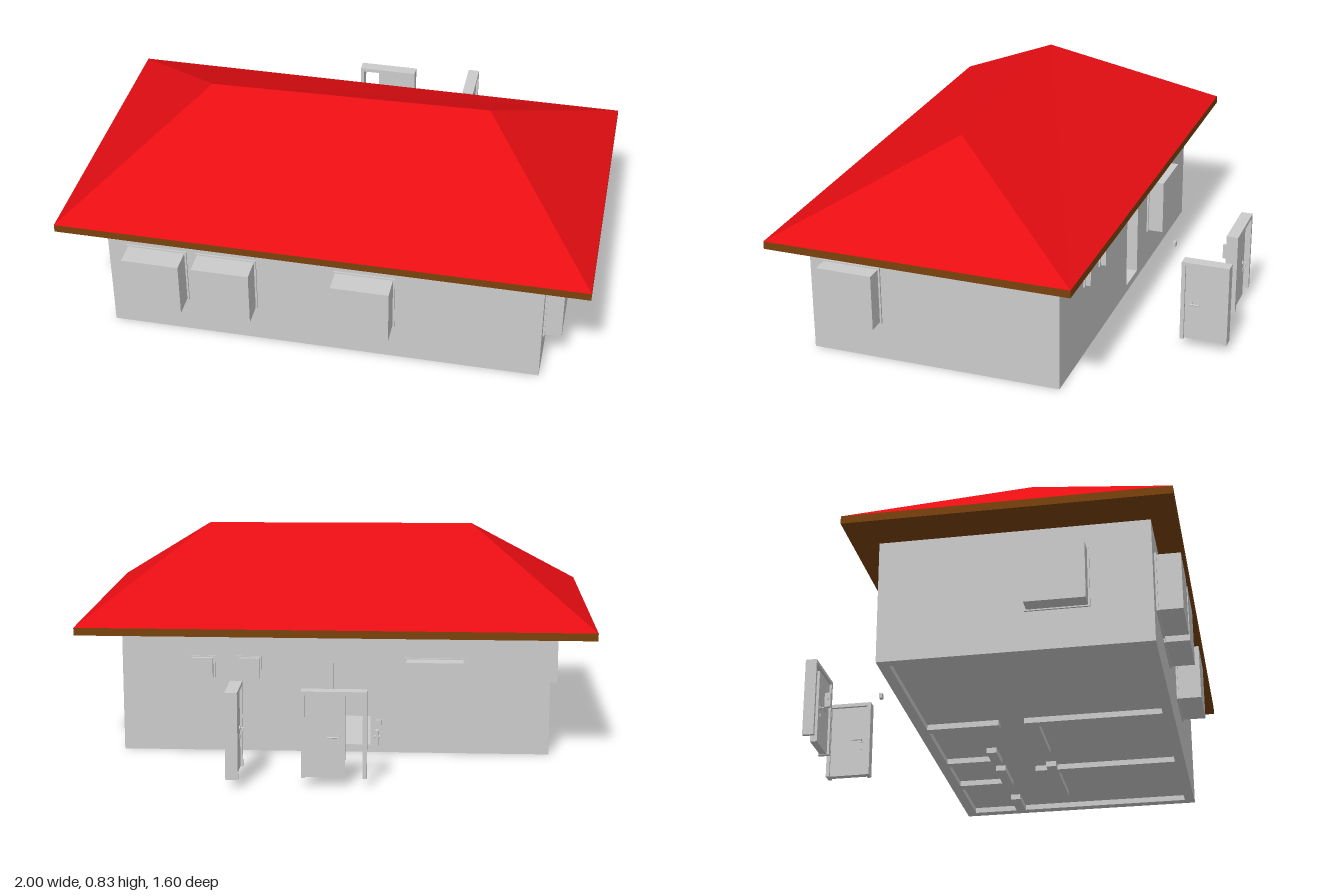
import * as THREE from 'three';

const grey = new THREE.MeshStandardMaterial({ color: 0xcccccc });
const red = new THREE.MeshStandardMaterial({ color: 0xe60d12, flatShading: true });
const brown = new THREE.MeshStandardMaterial({ color: 0x7a420c });

// Box given by its extents on each axis
function box(parent, name, [x0, x1], [y0, y1], [z0, z1], material = grey) {
  const mesh = new THREE.Mesh(new THREE.BoxGeometry(x1 - x0, y1 - y0, z1 - z0), material);
  mesh.position.set((x0 + x1) / 2, (y0 + y1) / 2, (z0 + z1) / 2);
  mesh.name = name;
  parent.add(mesh);
  return mesh;
}

// Hipped roof: four eave corners rising to a slightly skewed ridge
function makeRoof() {
  const y = 0.505;
  const a = [-1, y, 0.795], b = [1, y, 0.795], c = [1, y, -0.39], d = [-1, y, -0.39];
  const l = [-0.53, 0.83, 0.225], r = [0.54, 0.83, 0.195];
  const faces = [a, b, r, a, r, l, b, c, r, c, d, l, c, l, r, d, a, l];
  const geometry = new THREE.BufferGeometry();
  geometry.setAttribute('position', new THREE.Float32BufferAttribute(faces.flat(), 3));
  geometry.computeVertexNormals();
  const mesh = new THREE.Mesh(geometry, red);
  mesh.name = 'roof';
  return mesh;
}

// Window block: thin flange on the wall and a deep body, facing local +z
function windowBlock(parent, x, y, z, turn, depth, w = 0.22, h = 0.22) {
  const g = new THREE.Group();
  g.name = 'windowBlock';
  box(g, 'windowFlange', [-w / 2 - 0.007, w / 2 + 0.007], [-h / 2 - 0.005, h / 2 + 0.005], [-0.01, 0.007]);
  box(g, 'windowBody', [-w / 2, w / 2], [-h / 2, h / 2], [0, depth]);
  g.position.set(x, y, z);
  g.rotation.y = turn;
  parent.add(g);
}

// Lever handles on both faces of a door, lever pointing to local dir
function doorHandle(parent, x, y, dir, half) {
  for (const s of [-1, 1]) {
    const rose = new THREE.Mesh(new THREE.CylinderGeometry(0.009, 0.009, 0.006, 16), grey);
    rose.rotation.x = Math.PI / 2;
    rose.position.set(x, y, s * (half + 0.001));
    rose.name = 'handleRose';
    parent.add(rose);
    const neck = new THREE.Mesh(new THREE.CylinderGeometry(0.003, 0.003, 0.02, 12), grey);
    neck.rotation.x = Math.PI / 2;
    neck.position.set(x, y, s * (half + 0.007));
    neck.name = 'handleNeck';
    parent.add(neck);
    const lever = new THREE.Mesh(new THREE.CylinderGeometry(0.003, 0.003, 0.042, 12), grey);
    lever.rotation.z = Math.PI / 2;
    lever.position.set(x + dir * 0.018, y, s * (half + 0.015));
    lever.name = 'handleLever';
    parent.add(lever);
    box(parent, 'keyhole', [x - 0.003, x + 0.003], [y - 0.04, y - 0.025],
      s > 0 ? [half, half + 0.003] : [-half - 0.003, -half]);
  }
}

// Door with frame; the leaf fills the span [leaf0, leaf1]
function door(name, w, leaf0, leaf1, handleX, dir) {
  const g = new THREE.Group(), t = 0.015, d = 0.023;
  g.name = name;
  for (const s of [-1, 1]) {
    const x = s * (w / 2 - t / 2);
    box(g, 'doorJamb', [x - t / 2, x + t / 2], [0.035, 0.36], [-d, d]);
  }
  box(g, 'doorHead', [-w / 2 + t, w / 2 - t], [0.345, 0.36], [-d, d]);
  box(g, 'doorLeaf', [leaf0, leaf1], [0.037, 0.344], [-0.014, 0.014]);
  doorHandle(g, handleX, 0.19, dir, 0.014);
  return g;
}

export function createModel() {
  const model = new THREE.Group();
  const H = [0, 0.476], T = 0.04;

  // Outer walls; the back one has a doorway
  box(model, 'frontWall', [-0.83, 0.83], H, [0.70 - T, 0.70]);
  box(model, 'leftWall', [0.83 - T, 0.83], H, [-0.29 + T, 0.70 - T]);
  box(model, 'rightWall', [-0.83, -0.83 + T], H, [-0.29 + T, 0.70 - T]);
  const outline = new THREE.Shape([[-0.83, 0], [0.83, 0], [0.83, 0.476], [-0.83, 0.476]]
    .map(p => new THREE.Vector2(...p)));
  outline.holes.push(new THREE.Path([[-0.137, 0.03], [-0.137, 0.355], [0.01, 0.355], [0.01, 0.03]]
    .map(p => new THREE.Vector2(...p))));
  const back = new THREE.Mesh(new THREE.ExtrudeGeometry(outline, { depth: T, bevelEnabled: false }), grey);
  back.position.z = -0.29;
  back.name = 'backWall';
  model.add(back);

  // Raised floor and inner partitions
  box(model, 'floor', [-0.8, 0.8], [0.022, 0.03], [-0.26, 0.68]);
  const partitions = [
    [[0.33, 0.37], [0.09, 0.68]], [[-0.18, -0.14], [0.13, 0.68]],
    [[0.29, 0.65], [0.14, 0.18]], [[-0.18, 0.15], [0.14, 0.18]],
    [[0.65, 0.81], [-0.07, -0.03]], [[0.45, 0.49], [-0.27, -0.03]],
    [[0.30, 0.45], [-0.07, -0.03]], [[0.19, 0.23], [-0.27, -0.03]],
    [[0.10, 0.19], [-0.07, -0.03]], [[-0.18, -0.14], [-0.27, 0.03]],
  ];
  for (const [x, z] of partitions) box(model, 'partition', x, H, z);

  // Roof and its eave slab
  box(model, 'eaveSlab', [-1, 1], [0.475, 0.505], [-0.39, 0.795], brown);
  model.add(makeRoof());

  // Window blocks
  for (const x of [-0.64, -0.37, 0.16]) windowBlock(model, x, 0.265, 0.70, 0, 0.095);
  windowBlock(model, 0.83, 0.265, 0.53, Math.PI / 2, 0.07);
  windowBlock(model, -0.83, 0.265, 0.36, -Math.PI / 2, 0.07);
  windowBlock(model, -0.385, 0.265, -0.29, Math.PI, 0.067);
  for (const x of [0.515, 0.333]) windowBlock(model, x, 0.335, -0.29, Math.PI, 0.027, 0.08, 0.08);

  // Loose doors standing behind the house
  const wide = door('wideDoor', 0.24, -0.04, 0.105, -0.015, 1);
  wide.position.set(-0.02, 0, -0.742);
  model.add(wide);
  const narrow = door('narrowDoor', 0.185, -0.078, 0.078, -0.055, 1);
  narrow.position.set(0.35, 0, -0.708);
  narrow.rotation.y = Math.PI / 2;
  model.add(narrow);

  // Small loose fittings
  box(model, 'looseLatch', [-0.183, -0.163], [0.15, 0.17], [-0.445, -0.433]);
  box(model, 'looseLockPlate', [-0.18, -0.168], [0.13, 0.19], [-0.667, -0.643]);
  const knob = new THREE.Mesh(new THREE.CylinderGeometry(0.006, 0.006, 0.022, 16), grey);
  knob.rotation.z = Math.PI / 2;
  knob.position.set(-0.174, 0.165, -0.655);
  knob.name = 'looseKnob';
  model.add(knob);

  return model;
}
